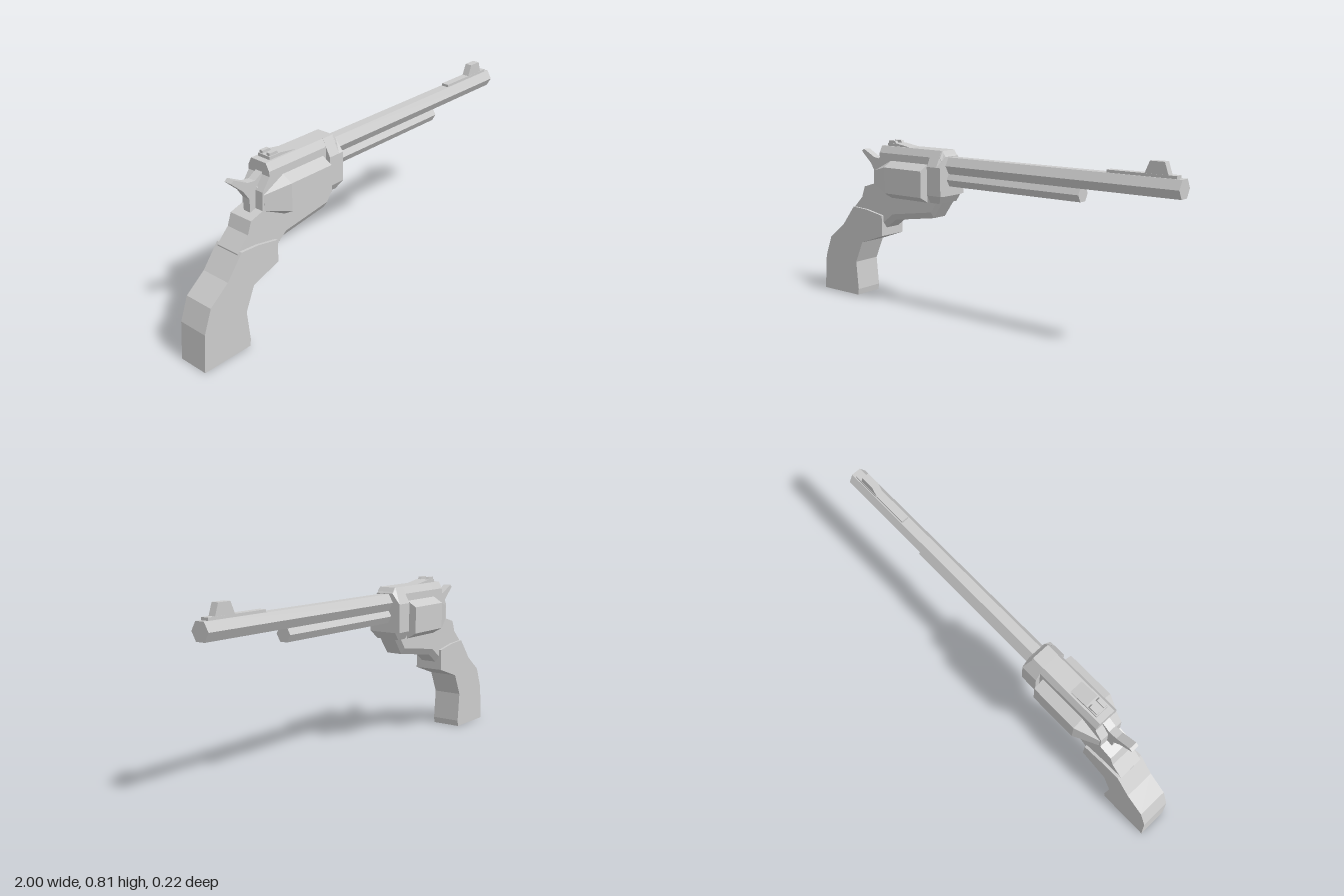
import * as THREE from 'three';

const material = new THREE.MeshStandardMaterial({ color: 0xcccccc, flatShading: true, side: THREE.DoubleSide });

function addMesh(group, name, geometry) {
  const mesh = new THREE.Mesh(geometry, material);
  mesh.name = name;
  group.add(mesh);
  return mesh;
}

// Side outline in x, y given thickness and centred on z = zc
function plate(points, thickness, zc = 0) {
  const shape = new THREE.Shape(points.map(([x, y]) => new THREE.Vector2(x, y)));
  const geo = new THREE.ExtrudeGeometry(shape, { depth: thickness, bevelEnabled: false });
  return geo.translate(0, 0, zc - thickness / 2);
}

// Six-sided bar along x
function hexBar(x0, x1, y, rBack, rFront, roll = 0) {
  return new THREE.CylinderGeometry(rFront, rBack, x1 - x0, 6)
    .rotateZ(-Math.PI / 2)
    .rotateX(roll)
    .translate((x0 + x1) / 2, y, 0);
}

// Skin over mirrored cross-sections: { x, half: [[z, y], ...] from bottom to top }
function loft(sections) {
  const rings = sections.map(({ x, half }) => [
    ...half.map(([z, y]) => [x, y, -z]),
    ...half.slice().reverse().map(([z, y]) => [x, y, z]),
  ]);
  const n = rings[0].length;
  const pos = [];
  const tri = (...pts) => pts.forEach((p) => pos.push(...p));
  for (let i = 0; i < rings.length - 1; i++) {
    for (let j = 0; j < n; j++) {
      const k = (j + 1) % n;
      tri(rings[i][j], rings[i][k], rings[i + 1][j]);
      tri(rings[i][k], rings[i + 1][k], rings[i + 1][j]);
    }
  }
  const first = rings[0], last = rings[rings.length - 1];
  for (let j = 1; j < n - 1; j++) {
    tri(first[0], first[j + 1], first[j]);
    tri(last[0], last[j], last[j + 1]);
  }
  const geo = new THREE.BufferGeometry();
  geo.setAttribute('position', new THREE.Float32BufferAttribute(pos, 3));
  geo.computeVertexNormals();
  return geo;
}

export function createModel() {
  const model = new THREE.Group();
  model.name = 'revolver';

  // Frame: x, bottom y, top y, half width of the top
  const frame = [
    [-0.78, 0.38, 0.45, 0.06],
    [-0.72, 0.37, 0.51, 0.06],
    [-0.70, 0.37, 0.565, 0.06],
    [-0.635, 0.37, 0.585, 0.06],
    [-0.63, 0.37, 0.665, 0.06],
    [-0.59, 0.37, 0.72, 0.06],
    [-0.59, 0.37, 0.775, 0.042],
    [-0.57, 0.37, 0.775, 0.042],
    [-0.51, 0.415, 0.775, 0.042],
    [-0.26, 0.452, 0.775, 0.042],
    [-0.20, 0.537, 0.775, 0.042],
    [-0.18, 0.565, 0.745, 0.042],
  ].map(([x, lo, hi, w]) => ({
    x, half: [[0.04, lo], [0.06, lo + 0.03], [0.06, hi - 0.033], [w, hi]],
  }));
  addMesh(model, 'frame', loft(frame));

  // Wider front of the frame
  const collar = [[-0.262, 0.528, 0.775], [-0.205, 0.528, 0.775], [-0.18, 0.564, 0.748]].map(([x, lo, hi]) => ({
    x, half: [[0.06, lo], [0.083, 0.566], [0.083, 0.70], [0.043, hi]],
  }));
  addMesh(model, 'frameFront', loft(collar));

  // Drum with tapered rear
  addMesh(model, 'drum', hexBar(-0.515, -0.28, 0.617, 0.125, 0.125, Math.PI / 6));
  addMesh(model, 'drumTaper', hexBar(-0.625, -0.515, 0.617, 0.07, 0.125, Math.PI / 6));

  // Barrel and ejector rod
  addMesh(model, 'barrel', hexBar(-0.19, 1, 0.706, 0.045, 0.045));
  addMesh(model, 'ejectorRod', hexBar(-0.19, 0.54, 0.641, 0.037, 0.037));

  // Grip
  addMesh(model, 'grip', plate([
    [-1, 0], [-0.755, 0], [-0.75, 0.03], [-0.763, 0.172], [-0.715, 0.28], [-0.573, 0.33],
    [-0.573, 0.432], [-0.68, 0.452], [-0.77, 0.457], [-0.85, 0.355], [-0.945, 0.28], [-0.985, 0.175],
  ], 0.146));

  // Hammer
  addMesh(model, 'hammer', plate([
    [-0.755, 0.735], [-0.74, 0.746], [-0.67, 0.71], [-0.63, 0.705], [-0.59, 0.73],
    [-0.58, 0.64], [-0.61, 0.57], [-0.665, 0.57], [-0.665, 0.635], [-0.695, 0.68],
  ], 0.038));

  // Rear sight: base with two raised cheeks
  addMesh(model, 'rearSightBase', plate([[-0.56, 0.77], [-0.41, 0.775], [-0.5, 0.789], [-0.56, 0.789]], 0.066));
  for (const side of [-1, 1]) {
    addMesh(model, 'rearSightCheek', plate([
      [-0.555, 0.785], [-0.505, 0.785], [-0.515, 0.801], [-0.555, 0.801],
    ], 0.017, side * 0.021));
  }

  // Front sight
  addMesh(model, 'frontSightBase', plate([[0.66, 0.74], [0.975, 0.74], [0.975, 0.757], [0.66, 0.757]], 0.036));
  addMesh(model, 'frontSightBlade', plate([[0.83, 0.75], [0.94, 0.75], [0.92, 0.808], [0.855, 0.808]], 0.034));

  return model;
}
